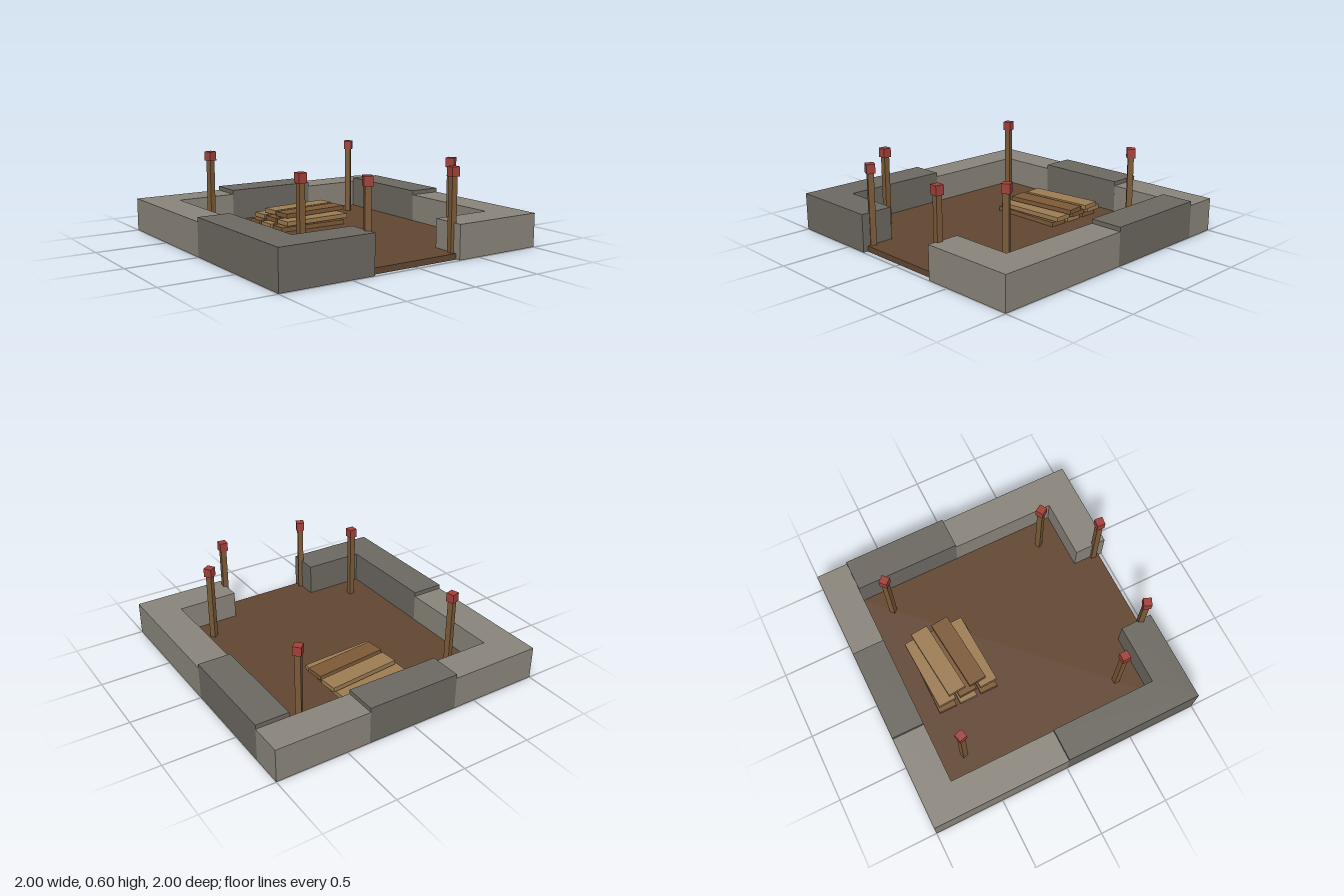
import * as THREE from 'three';

const mat = (color) => new THREE.MeshStandardMaterial({ color, flatShading: true });

export function createModel() {
  const model = new THREE.Group();
  const paleStone = mat(0x8a857b), darkStone = mat(0x6c6861);
  const earth = mat(0x614631), paleWood = mat(0x9c7c52), darkWood = mat(0x7d5a38);
  const postWood = mat(0x7a5a38), red = mat(0xa0403a);

  const box = (parent, name, size, pos, material, turn = 0) => {
    const mesh = new THREE.Mesh(new THREE.BoxGeometry(...size), material);
    mesh.name = name;
    mesh.position.set(...pos);
    mesh.rotation.y = turn;
    parent.add(mesh);
    return mesh;
  };

  // Earth floor
  box(model, 'floor', [1.93, 0.04, 1.93], [0, 0.02, 0], earth);

  // Foundation walls, extruded upwards from their plan outlines (x, z)
  const wall = (name, points, height, material) => {
    const shape = new THREE.Shape(points.map(([x, z]) => new THREE.Vector2(x, -z)));
    const geo = new THREE.ExtrudeGeometry(shape, { depth: height - 0.002, bevelEnabled: false });
    geo.rotateX(-Math.PI / 2);
    const mesh = new THREE.Mesh(geo, material);
    mesh.name = name;
    mesh.position.y = 0.002;
    model.add(mesh);
  };
  const inner = 0.768, gap = 0.335, low = 0.235, high = 0.265;
  // L-shaped corner; sx and sz choose the corner, end is where the side arm stops
  const corner = (name, sx, sz, end, height, material) => wall(name, [
    [sx, sz], [sx * gap, sz], [sx * gap, sz * inner],
    [sx * inner, sz * inner], [sx * inner, end], [sx, end],
  ], height, material);
  corner('frontRightWall', -1, 1, 0, high, darkStone);
  corner('frontLeftWall', 1, 1, 0, low, paleStone);
  corner('backRightWall', -1, -1, 0, low, paleStone);
  corner('backLeftWall', 1, -1, -inner, low, paleStone);
  wall('backMiddleWall', [[-gap, -1], [gap, -1], [gap, -inner], [-gap, -inner]], high, darkStone);
  wall('leftSideWall', [[inner, -inner], [1, -inner], [1, 0], [inner, 0]], high, darkStone);

  // Marker posts with red caps: x, z, turn in degrees
  const posts = [
    [-0.6, -0.6, 15], [0.6, -0.6, 43], [-0.6, 0.6, 0],
    [0.6, 0.6, 32], [-0.335, 0.92, -24], [0.335, 0.92, -5],
  ];
  for (const [x, z, turn] of posts) {
    const post = new THREE.Group();
    post.name = 'markerPost';
    post.position.set(x, 0, z);
    post.rotation.y = THREE.MathUtils.degToRad(turn);
    box(post, 'stake', [0.04, 0.52, 0.04], [0, 0.3, 0], postWood);
    box(post, 'cap', [0.058, 0.064, 0.058], [0, 0.563, 0], red);
    model.add(post);
  }

  // Stack of planks, each layer shifted and turned a little more
  const stack = new THREE.Group();
  stack.name = 'plankStack';
  const layers = [[-0.562, -0.402, -0.242], [-0.562, -0.402, -0.242], [-0.482, -0.322]];
  layers.forEach((rows, layer) => rows.forEach((z, i) => {
    const pale = (layer + i) % 2 === (layer === 2 ? 0 : 1);
    box(stack, 'plank', [0.53, 0.032, 0.13], [0.033 * layer, 0.058 + 0.041 * layer, z],
      pale ? paleWood : darkWood, 0.05 * layer);
  }));
  model.add(stack);

  return model;
}
